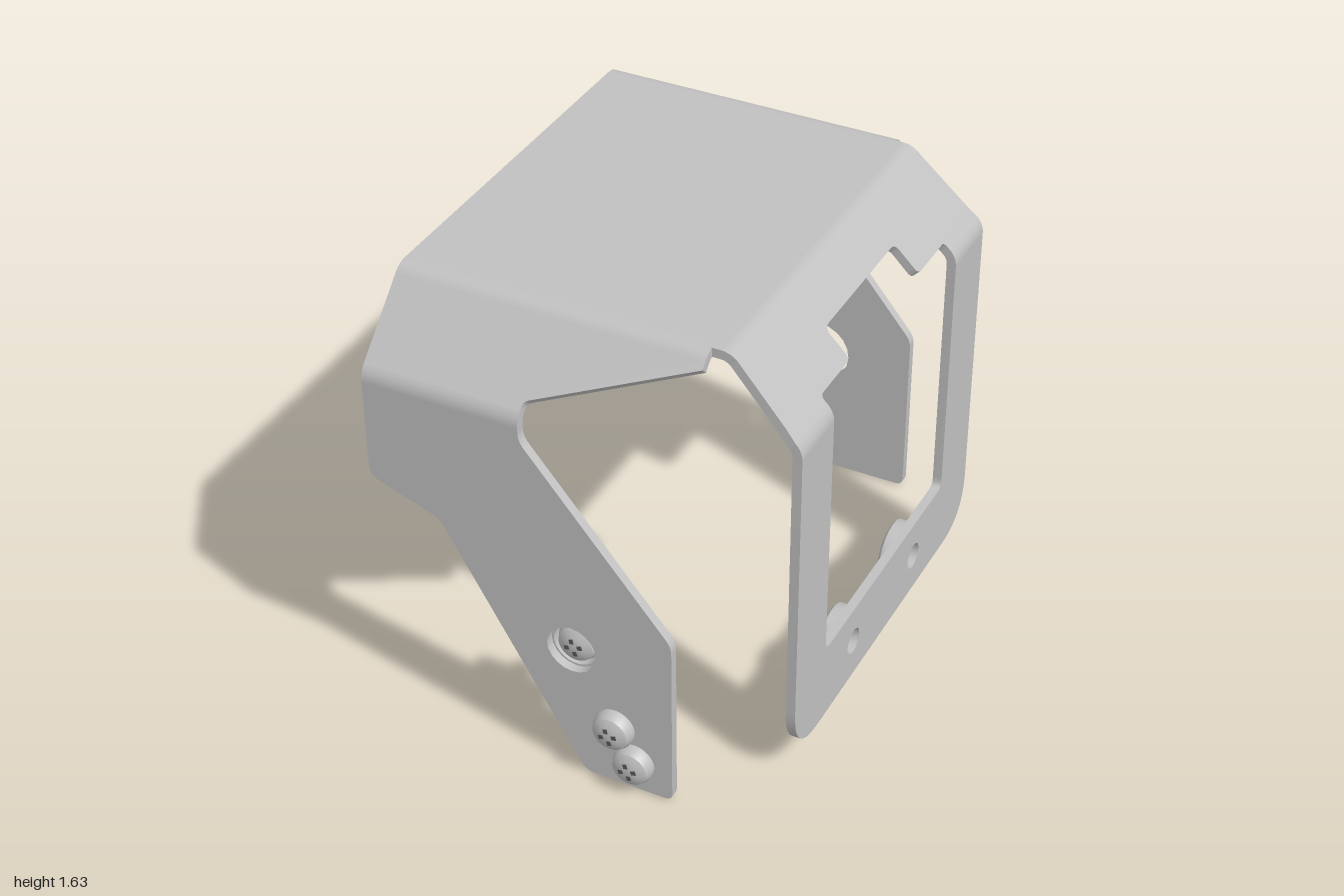
import * as THREE from 'three';
import { toCreasedNormals } from 'three/addons/utils/BufferGeometryUtils.js';

const steel = new THREE.MeshStandardMaterial({ color: 0xc0c0c0 });
steel.name = 'steel grey';
const dark = new THREE.MeshStandardMaterial({ color: 0x585858 });
dark.name = 'recess grey';

const H = 1.64;                              // top of the sheet
const D = 0.26;                              // bevel size, 45 degrees
const R = 0.08;                              // outer bend radius
const THICK = 0.033;                         // sheet thickness
const T = R * Math.tan(Math.PI / 8);         // bend tangent length
const L = D * Math.SQRT2;                    // bevel length

function add(parent, name, geometry, material = steel) {
  const mesh = new THREE.Mesh(geometry, material);
  mesh.name = name;
  parent.add(mesh);
  return mesh;
}

// Polygon of [x, y, cornerRadius] points
function rounded(points, path = new THREE.Shape()) {
  const n = points.length;
  points.forEach(([x, y, r = 0], i) => {
    const p = new THREE.Vector2(x, y);
    const toward = (q) => new THREE.Vector2(q[0], q[1]).sub(p).setLength(r).add(p);
    const a = toward(points[(i + n - 1) % n]);
    const b = toward(points[(i + 1) % n]);
    if (i === 0) path.moveTo(a.x, a.y); else path.lineTo(a.x, a.y);
    if (r) path.quadraticCurveTo(x, y, b.x, b.y);
  });
  path.closePath();
  return path;
}

function circle(x, y, r) {
  return new THREE.Path().absarc(x, y, r, 0, Math.PI * 2, true);
}

// Plate whose outer face lies at z = 0
function plate(shape, thickness = THICK) {
  const g = new THREE.ExtrudeGeometry(shape, { depth: thickness, bevelEnabled: false, curveSegments: 10 });
  g.translate(0, 0, -thickness);
  return toCreasedNormals(g, 0.6);
}

// Curved strip along x, centred on (z, y), turning between two angles
function bend(z, y, from, to, x0, x1) {
  const s = new THREE.Shape();
  s.absarc(z, y, R, from, to, false);
  s.absarc(z, y, R - THICK, to, from, true);
  s.closePath();
  const g = new THREE.ExtrudeGeometry(s, { depth: x1 - x0, bevelEnabled: false, curveSegments: 6 });
  g.translate(0, 0, -x1);
  g.rotateY(-Math.PI / 2);
  return toCreasedNormals(g, 0.4);
}

// A wall that folds from the top through a 45 degree bevel to vertical
function foldedWall(name, W, { wall, bevel, upper, lower }) {
  const g = new THREE.Group();
  g.name = name;
  const q = Math.PI / 4;
  add(g, 'upperBend', bend(W - D - T, H - R, q, 2 * q, ...upper));
  for (const span of lower) add(g, 'lowerBend', bend(W - R, H - D - T, 0, q, ...span));
  const slope = add(g, 'bevelPanel', plate(bevel));
  slope.position.set(0, H - D, W);
  slope.rotation.x = -q;
  add(g, 'wallPanel', plate(wall)).position.z = W;
  return g;
}

function lathe(points, segments = 36) {
  const g = new THREE.LatheGeometry(points.map(([r, h]) => new THREE.Vector2(r, h)), segments);
  g.rotateX(Math.PI / 2);
  return toCreasedNormals(g, 0.6);
}

// Pan head screw pointing to -z, head seated at z = seat
function screw(x, y, seat, tip) {
  const g = new THREE.Group();
  g.name = 'screw';
  g.position.set(x, y, 0);
  add(g, 'screwBody', lathe([
    [0, tip], [0.018, tip], [0.035, tip + 0.035], [0.035, seat], [0.072, seat],
    [0.072, seat + 0.02], [0.062, seat + 0.042], [0.04, seat + 0.055], [0, seat + 0.06],
  ]));
  for (let i = 0; i < 4; i++) {
    const a = 0.26 + i * Math.PI / 2;
    const slot = add(g, 'driveSlot', new THREE.BoxGeometry(0.017, 0.015, 0.006), dark);
    slot.position.set(Math.cos(a) * 0.024, Math.sin(a) * 0.024, seat + 0.056);
    slot.rotation.z = a;
  }
  return g;
}

// Front or back leg with its bevel
function sideLeg(name, holeRadius) {
  const top = H - D - T;
  const wall = rounded([
    [-0.705, top], [-0.705, 0.98, 0.035], [-0.45, 0.89, 0.035], [0.06, 0.01, 0.04],
    [0.382, 0.01, 0.03], [0.382, 0.67, 0.03], [-0.143, 1.3, 0.03], [-0.143, top],
  ]);
  wall.holes.push(circle(0.02, 0.52, holeRadius));
  const bevel = rounded([
    [-0.705, T], [-0.143, T], [-0.143, 0.06, 0.02], [0.382, 0.305], [0.382, L - T], [-0.705, L - T],
  ]);
  return foldedWall(name, 0.938, { wall, bevel, upper: [-0.705, 0.382], lower: [[-0.705, -0.143]] });
}

// Window frame on the model's left, built facing +z
function windowFrame() {
  const top = H - D - T;
  const wall = rounded([
    [-0.695, top], [-0.695, 0.132, 0.19], [0.755, 0.132, 0.19], [0.755, top],
    [0.515, top], [0.515, 0.42, 0.035], [-0.465, 0.42, 0.035], [-0.465, top],
  ]);
  for (const x of [-0.23, 0.28]) wall.holes.push(circle(x, 0.278, 0.048));
  const bevel = rounded([
    [-0.695, T], [-0.465, T], [-0.465, 0.068, 0.02], [-0.245, 0.068, 0.025], [-0.245, 0.195, 0.03],
    [0.3, 0.195, 0.03], [0.3, 0.068, 0.025], [0.515, 0.068, 0.02], [0.515, T], [0.755, T],
    [0.745, 0.09], [0.72, L - T], [-0.66, L - T], [-0.685, 0.09],
  ]);
  const g = foldedWall('windowFrame', 0.705, {
    wall, bevel, upper: [-0.66, 0.72], lower: [[-0.695, -0.465], [0.515, 0.755]],
  });
  // Press nuts behind the two holes
  for (const x of [-0.23, 0.28]) {
    add(g, 'pressNut', lathe([
      [0.048, 0.613], [0.1, 0.613], [0.113, 0.624], [0.113, 0.673], [0.048, 0.673], [0.048, 0.613],
    ])).position.set(x, 0.278, 0);
  }
  g.rotation.y = Math.PI / 2;
  return g;
}

// Hub and arm on the inside of the front leg
function hornArm() {
  const g = new THREE.Group();
  g.name = 'hornArm';
  g.position.set(0.02, 0.52, 0);
  add(g, 'hub', lathe([
    [0.125, 0.77], [0.125, 0.906], [0.082, 0.906], [0.082, 0.87], [0.03, 0.87],
    [0.03, 0.84], [0.095, 0.84], [0.095, 0.77], [0.125, 0.77],
  ]));
  const w = 0.096;
  const s = new THREE.Shape();
  s.moveTo(0.085, -w);
  s.absarc(0.482, 0, w, -Math.PI / 2, Math.PI / 2, false);
  s.lineTo(0.085, w);
  s.closePath();
  for (const d of [0.24, 0.383, 0.525]) s.holes.push(circle(d, 0, 0.017));
  const arm = add(g, 'arm', plate(s, 0.048));
  arm.position.z = 0.906;
  arm.rotation.z = Math.atan2(-0.395, 0.225);
  return g;
}

export function createModel() {
  const model = new THREE.Group();
  model.name = 'sheetMetalBracket';

  // Top sheet, with a tab leading into the window frame
  const zMid = -0.031;
  const half = 0.938 - D - T - zMid;
  const top = add(model, 'topPanel', new THREE.BoxGeometry(1.087, THICK, half * 2));
  top.position.set(-0.1615, H - THICK / 2, zMid);
  const tabEnd = 0.705 - D - T;
  const tab = add(model, 'topTab', new THREE.BoxGeometry(tabEnd - 0.38, THICK, 1.38));
  tab.position.set((tabEnd + 0.38) / 2, H - THICK / 2, -0.03);

  // Matching legs, mirrored front to back
  model.add(sideLeg('frontLeg', 0.09));
  const back = sideLeg('backLeg', 0.12);
  back.scale.z = -1;
  back.position.z = zMid * 2;
  model.add(back);

  model.add(windowFrame(), hornArm());
  model.add(screw(0.02, 0.52, 0.87, 0.695));
  model.add(screw(0.175, 0.25, 0.938, 0.8));
  model.add(screw(0.245, 0.125, 0.938, 0.8));
  return model;
}
